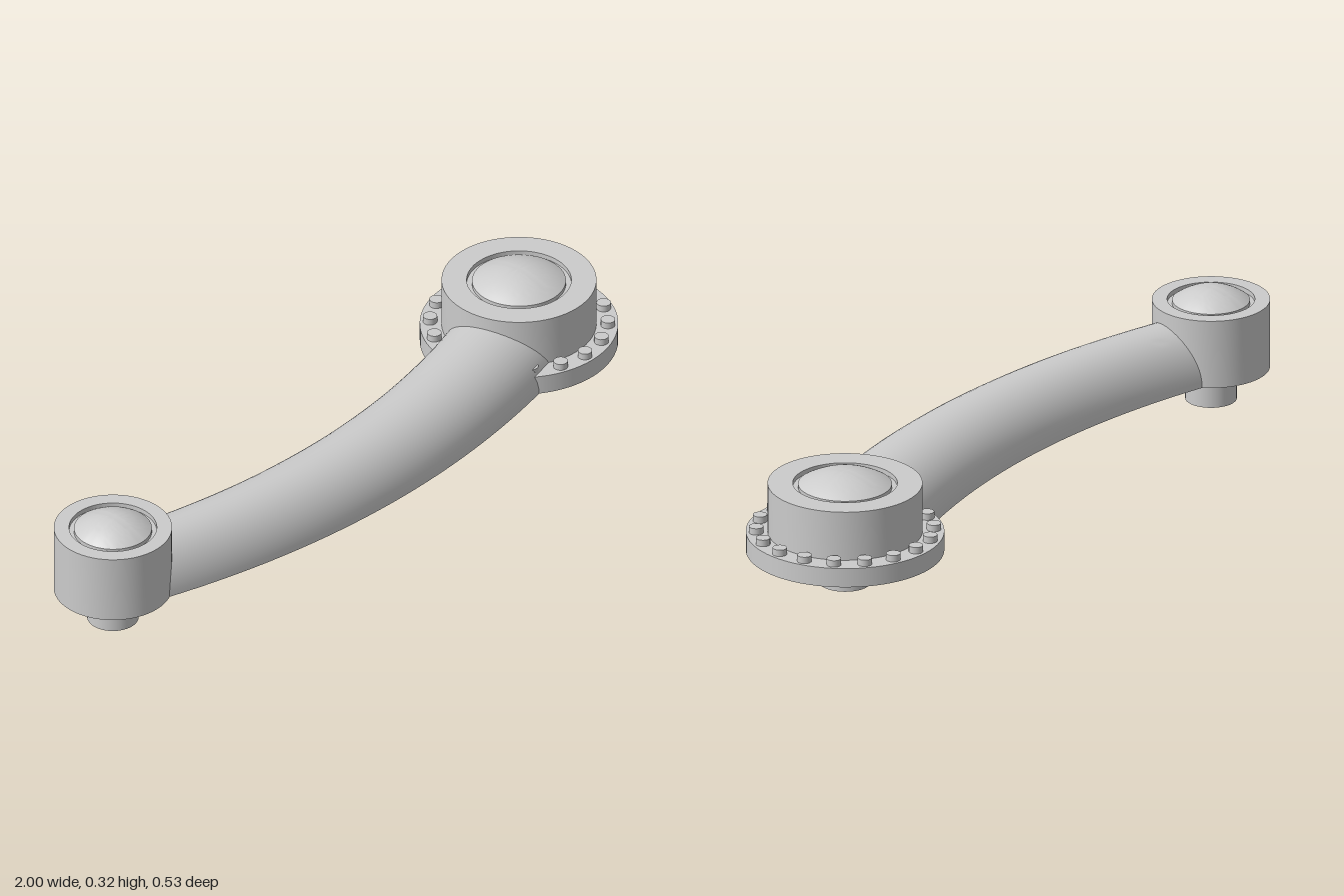
import * as THREE from 'three';
import { toCreasedNormals } from 'three/addons/utils/BufferGeometryUtils.js';

const BASE = 0.092; // underside of the arm, bosses and flange
const Z = -0.007; // z of both pivot axes

export function createModel() {
  const group = new THREE.Group();
  const material = new THREE.MeshStandardMaterial({ color: 0xcccccc });

  const add = (parent, name, geometry, x = 0, y = 0, z = 0) => {
    const mesh = new THREE.Mesh(geometry, material);
    mesh.name = name;
    mesh.position.set(x, y, z);
    parent.add(mesh);
    return mesh;
  };
  const lathe = (points) => toCreasedNormals(
    new THREE.LatheGeometry(points.map(([r, y]) => new THREE.Vector2(r, y)), 64), 0.5);

  // Pivot: pin below, boss with a ring groove, shallow dome on top
  const addPivot = (name, x, radius, grooveRadius, domeRadius) => {
    const pivot = new THREE.Group();
    pivot.name = name;
    pivot.position.set(x, 0, Z);
    group.add(pivot);
    add(pivot, 'pin', new THREE.CylinderGeometry(0.0675, 0.0675, 0.12, 48), 0, 0.06, 0);
    add(pivot, 'boss', lathe([
      [0, BASE], [radius, BASE], [radius, 0.281], [grooveRadius, 0.281],
      [grooveRadius, 0.268], [0, 0.268],
    ]));
    const dome = [[domeRadius, 0.266]];
    for (let i = 0; i <= 12; i++) {
      const t = 1 - i / 12;
      dome.push([domeRadius * t, 0.316 - 0.037 * t * t]);
    }
    add(pivot, 'dome', lathe(dome));
    return pivot;
  };

  addPivot('smallPivot', -0.845, 0.155, 0.115, 0.102);
  const large = addPivot('largePivot', 0.74, 0.203, 0.137, 0.123);

  // Bolted flange around the large boss
  add(large, 'flange', new THREE.CylinderGeometry(0.26, 0.26, 0.053, 72), 0, BASE + 0.0265, 0);
  const bolt = new THREE.CylinderGeometry(0.019, 0.019, 0.03, 20);
  for (let i = 0; i < 18; i++) {
    const a = (i / 18) * Math.PI * 2;
    add(large, 'bolt', bolt, Math.sin(a) * 0.233, 0.148, Math.cos(a) * 0.233);
  }

  add(group, 'curvedArm', armGeometry());
  return group;
}

// Bowed, widening arm with a half-ellipse section and a flat underside
function armGeometry() {
  const steps = 56, around = 28, row = around + 2;
  const positions = [], index = [];
  for (let i = 0; i <= steps; i++) {
    const t = i / steps;
    const u = 2 * t - 1;
    const x = THREE.MathUtils.lerp(-0.845, 0.74, t);
    const z = 0.13 - 0.137 * u * u;
    const slope = (-0.274 * u) / 0.7925;
    const length = Math.hypot(1, slope);
    const halfWidth = THREE.MathUtils.lerp(0.109, 0.163, t);
    for (let j = 0; j < row; j++) {
      // the last point closes the section across the bottom
      const a = j <= around ? (j / around) * Math.PI : 0;
      const side = Math.cos(a) * halfWidth;
      positions.push(x - (slope / length) * side, BASE + 0.153 * Math.sin(a), z + side / length);
    }
  }
  for (let i = 0; i < steps; i++) {
    for (let j = 0; j < row - 1; j++) {
      const a = i * row + j, b = a + row;
      index.push(a, b, a + 1, b, b + 1, a + 1);
    }
  }
  const geometry = new THREE.BufferGeometry();
  geometry.setAttribute('position', new THREE.Float32BufferAttribute(positions, 3));
  geometry.setIndex(index);
  return toCreasedNormals(geometry, 0.6);
}
